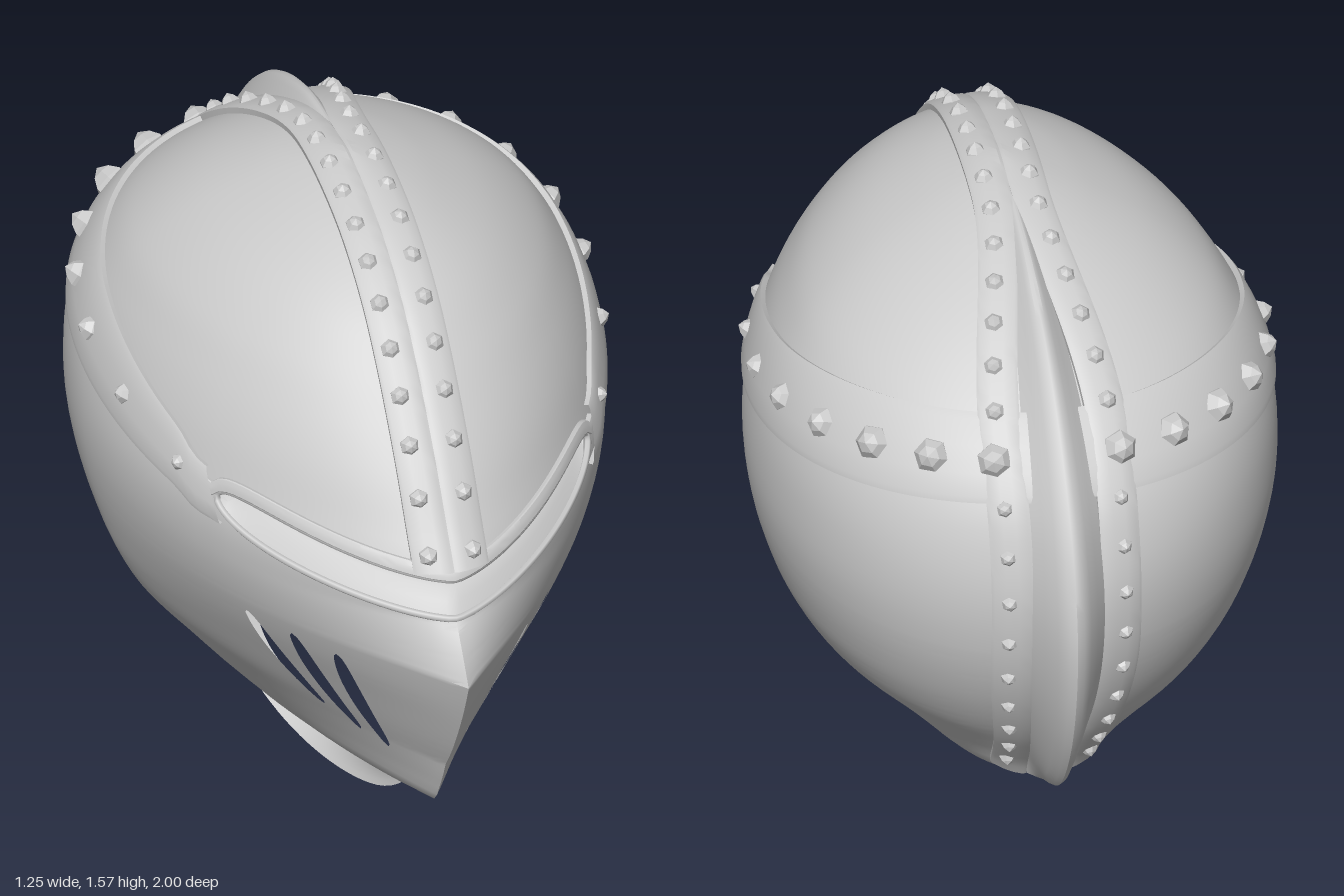
import * as THREE from 'three';
import { toCreasedNormals } from 'three/addons/utils/BufferGeometryUtils.js';

const V = (x, y, z) => new THREE.Vector3(x, y, z);
const lerp = THREE.MathUtils.lerp, PI = Math.PI;
const MAT = new THREE.MeshStandardMaterial({ color: 0xcccccc, side: THREE.DoubleSide });
const STUD_MAT = new THREE.MeshStandardMaterial({ color: 0xcccccc, flatShading: true });
const CENTRE = V(0, 0.8, -0.05);

// Helmet cross-sections: key, y, front z, back z, half width, front sharpness k and m
const ROWS = [
  [0, .145, .42, -.43, .18, 1.6, .6], [.06, .14, .51, -.5, .225, 1.4, .65],
  [.12, .155, .62, -.54, .26, 1.15, .7], [.18, .185, .715, -.57, .295, 1.03, .75],
  [.24, .24, .755, -.6, .345, 1, .76], [.3, .3, .79, -.645, .4, 1, .75],
  [.4, .4, .835, -.72, .49, 1.03, .72], [.5, .5, .865, -.78, .545, 1.1, .67],
  [.6, .6, .885, -.825, .58, 1.22, .62], [.7, .7, .895, -.855, .605, 1.34, .585],
  [.8, .8, .895, -.87, .62, 1.42, .56], [.9, .9, .882, -.87, .622, 1.46, .55],
  [1, 1, .81, -.85, .61, 1.54, .54], [1.1, 1.1, .735, -.81, .582, 1.65, .53],
  [1.2, 1.2, .65, -.735, .535, 1.74, .52], [1.3, 1.3, .555, -.625, .465, 1.8, .51],
  [1.4, 1.4, .435, -.475, .345, 1.9, .5], [1.48, 1.48, .28, -.3, .195, 2, .5],
  [1.52, 1.52, .13, -.15, .085, 2, .5], [1.54, 1.54, 0, 0, 0, 2, .5]];
const TOP = 1.54;

// Smooth interpolation between cross-sections
function section(v) {
  let i = 0;
  while (i < ROWS.length - 2 && v > ROWS[i + 1][0]) i++;
  const at = n => ROWS[Math.min(Math.max(n, 0), ROWS.length - 1)];
  const [p, a, b, n] = [at(i - 1), at(i), at(i + 1), at(i + 2)];
  const h = b[0] - a[0], t = THREE.MathUtils.clamp((v - a[0]) / h, 0, 1), t2 = t * t, t3 = t2 * t;
  const r = a.map((_, c) => a[c] * (2 * t3 - 3 * t2 + 1) + b[c] * (3 * t2 - 2 * t3)
    + (t3 - 2 * t2 + t) * h * (b[c] - p[c]) / (b[0] - p[0]) + (t3 - t2) * h * (n[c] - a[c]) / (n[0] - a[0]));
  const [, y, zf, zb, w, k, m] = r;
  return { y, zf, zb, w: Math.max(w, 0), k, m, zm: (zf + zb) / 2 - .2 * Math.max(w, 0) };
}
const frontZ = (s, X) => s.zm + (s.zf - s.zm) * Math.pow(Math.max(0, 1 - Math.pow(X, s.k)), s.m);
const backZ = (s, X) => s.zm + (s.zb - s.zm) * Math.sqrt(Math.max(0, 1 - X * X));
// Beak of the visor, strongest on the centre line
const beak = (v, X) => .108 * Math.max(0, 1 - (v > .67 ? (v - .67) / .13 : (.67 - v) / .33)) * Math.exp(-X / .2);

// Point on the shell: angle 0 is the front, positive towards +x; the bottom rim arches up at the sides
function surf(a, v) {
  const s = section(v), X = Math.min(1, Math.abs(Math.sin(a)));
  const y = s.y + .03 * X * X * Math.max(0, 1 - v / .24);
  return V(s.w * Math.sin(a), y, Math.abs(a) <= PI / 2 ? frontZ(s, X) + beak(v, X) : backZ(s, X));
}
// Point on the shell in the plane at x, along angle phi (front, over the top, to the back)
function hit(x, phi) {
  const at = r => V(x, CENTRE.y + r * Math.sin(phi), CENTRE.z + r * Math.cos(phi));
  let lo = 0, hi = 1.3;
  for (let i = 0; i < 26; i++) {
    const r = (lo + hi) / 2, p = at(r), s = section(p.y), X = Math.abs(x) / (s.w || 1e-6);
    const inside = p.y < TOP && X < 1 && p.z < frontZ(s, X) && p.z > backZ(s, X);
    if (inside) lo = r; else hi = r;
  }
  return at(lo);
}
const outward = p => p.clone().sub(CENTRE).normalize();
const raise = (p, d) => p.clone().addScaledVector(outward(p), d);

// Grid surface from fn(row, column); skip leaves cells open
function grid(name, nr, nc, fn, crease = .6, skip = () => false) {
  const pts = [], pos = [];
  for (let i = 0; i <= nr; i++) for (let j = 0; j <= nc; j++) pts.push(fn(i, j));
  const tri = (...q) => {
    const [a, b, c] = q.map(n => pts[n]);
    if (b.clone().sub(a).cross(c.clone().sub(a)).length() > 1e-9) for (const p of [a, b, c]) pos.push(p.x, p.y, p.z);
  };
  for (let i = 0; i < nr; i++) for (let j = 0; j < nc; j++) {
    if (skip(i, j)) continue;
    const a = i * (nc + 1) + j, c = a + nc + 1;
    tri(a, a + 1, c + 1);
    tri(a, c + 1, c);
  }
  const g = new THREE.BufferGeometry();
  g.setAttribute('position', new THREE.Float32BufferAttribute(pos, 3));
  const mesh = new THREE.Mesh(toCreasedNormals(g, crease), MAT);
  mesh.name = name;
  return mesh;
}

// Seam between skull and visor; it opens into the eye slot at the front
const SLOT = .82;
const beltY = z => .9475 + .2875 * (.46 - z) - .0675 * (.46 - z) ** 2;
const beltHalf = z => .0525 + .1025 * (.46 - z) - .0675 * (.46 - z) ** 2;
function seam(a) {
  a = Math.abs(a);
  if (a < .86) return .85 + .1 * Math.pow(a / .86, 1.3);
  let v = 1.05;
  for (let i = 0; i < 8; i++) v = beltY(surf(a, v).z);
  return lerp(.95, v, THREE.MathUtils.smoothstep(a, .86, .98));
}
const gap = a => .05 * Math.sqrt(Math.max(0, 1 - Math.pow(Math.abs(a) / SLOT, 8)));

// Cheek slits: top angle, bottom angle, bottom y, top y
const SLITS = [[.41, .23, .31, .62], [.56, .34, .33, .63], [.72, .47, .37, .64]];
function columns(y) {
  const anchors = [0];
  for (const [at, ab, y0, y1] of SLITS) {
    const t = THREE.MathUtils.clamp((y - y0) / (y1 - y0), 0, 1);
    const c = lerp(ab, at, t) + .012 * Math.sin(PI * t), h = .031 * Math.pow(Math.sin(PI * t), .4);
    anchors.push(c - h, c + h);
  }
  anchors.push(PI / 2, PI);
  const out = [], parts = [8, 1, 3, 1, 3, 1, 14, 28];
  parts.forEach((n, i) => { for (let k = 0; k < n; k++) out.push(lerp(anchors[i], anchors[i + 1], k / n)); });
  out.push(PI);
  return out;
}
const SLIT_COLS = [8, 12, 16];

// Raised strap; edge(t, s) gives the shell point, s running across from 0 to 1
function strap(name, n, thick, edge, side) {
  const prof = [[0, -.01], [0, .8], [.08, 1], [.35, 1.1], [.65, 1.1], [.92, 1], [1, .8], [1, -.01]];
  return grid(name, n, prof.length - 1, (i, j) => {
    const [s, h] = prof[side > 0 ? j : prof.length - 1 - j];
    return raise(edge(i / n, s), h * thick);
  }, .5);
}
function stud(p, r) {
  const g = new THREE.LatheGeometry([[r, -.3 * r], [r, .1 * r], [.62 * r, .65 * r], [0, 1.05 * r]].map(q => new THREE.Vector2(...q)), 6);
  const m = new THREE.Mesh(g, STUD_MAT);
  m.name = 'stud';
  m.position.copy(p);
  m.quaternion.setFromUnitVectors(V(0, 1, 0), outward(p));
  return m;
}

export function createModel() {
  const group = new THREE.Group();
  group.name = 'helmet';

  // Visor and lower shell with cheek slits
  const keys = [];
  for (let v = 0; v < .295; v += .03) keys.push(v);
  for (let v = .3; v < .725; v += .01) keys.push(v);
  const flat = keys.length - 1, extra = 10, cols = keys.map(columns), half = cols[0].length - 1;
  group.add(grid('visor', flat + extra, half * 2, (i, j) => {
    const k = Math.min(i, flat), a = Math.sign(j - half) * cols[k][Math.abs(j - half)];
    return surf(a, i <= flat ? keys[i] : lerp(keys[flat], seam(a) - gap(a), (i - flat) / extra));
  }, .6, (i, j) => {
    const c = SLIT_COLS.indexOf(j >= half ? j - half : half - 1 - j), y = (keys[i] + keys[i + 1]) / 2;
    return c >= 0 && i < flat && y > SLITS[c][2] && y < SLITS[c][3];
  }));

  // Skull dome
  group.add(grid('skull', 36, 128, (i, j) => {
    const a = (j / 64 - 1) * PI, r = 1 - Math.pow(1 - i / 36, 1.7);
    return surf(a, lerp(seam(a) + gap(a), TOP, r));
  }));

  // Eye slot: sloping ledge, rolled rim and brow strip
  group.add(grid('slotLedge', 3, 60, (i, j) => {
    const a = (j / 30 - 1) * SLOT, p = surf(a, seam(a) - gap(a)), u = i / 3;
    const inward = V(-p.x, 0, CENTRE.z - p.z).normalize();
    p.addScaledVector(inward, .07 * u).y += gap(a) * 1.35 * Math.sin(u * PI / 2);
    return p;
  }));
  const ring = [];
  for (let i = 0; i < 80; i++) {
    const q = i / 80 * 2 * PI, a = SLOT * Math.sin(q);
    ring.push(surf(a, seam(a) + gap(a) * Math.sign(Math.cos(q))));
  }
  const rim = new THREE.Mesh(new THREE.TubeGeometry(new THREE.CatmullRomCurve3(ring, true), 160, .009, 6, true), MAT);
  rim.name = 'slotRim';
  group.add(rim);
  group.add(strap('browStrip', 60, .012, (t, s) => {
    const a = (t * 2 - 1) * .86;
    return surf(a, seam(a) + gap(a) + .03 * (1 - s));
  }, 1));

  // Crest from the crown down the back
  const ridge = new THREE.CatmullRomCurve3([[1.54, -.1], [1.505, -.35], [1.4, -.6], [1.24, -.8], [1.04, -.945],
    [.85, -1], [.65, -.98], [.45, -.9], [.27, -.76], [.155, -.57]].map(([y, z]) => V(0, y, z)));
  const shape = [[1, -.03], [.85, .15], [.63, .42], [.4, .72], [.18, .94], [0, 1]];
  const crossing = [...shape, ...shape.slice(0, -1).reverse().map(([x, h]) => [-x, h])];
  group.add(grid('crest', 60, crossing.length - 1, (i, j) => {
    const t = i / 60, tip = ridge.getPoint(t), [x, h] = crossing[j];
    const w = .012 + .088 * Math.pow(Math.sin(PI * Math.min(1, .02 + t * .86)), 1.1);
    const phi = Math.atan2(tip.y - CENTRE.y, tip.z - CENTRE.z);
    const p = hit(w, phi).lerp(tip, h);
    p.x = x * w;
    return p;
  }, .8));

  // Paired crown straps and side belts with their studs
  const flare = phi => THREE.MathUtils.smoothstep(phi, 1.65, 2.6);
  const close = phi => THREE.MathUtils.smoothstep(phi, 3.2, 4.05);
  const inner = phi => .08 * flare(phi) - .035 * close(phi);
  const outer = phi => .09 + .085 * flare(phi) - .05 * close(phi);
  for (const side of [1, -1]) {
    const name = side > 0 ? 'left' : 'right';
    group.add(strap(name + 'CrownStrap', 100, .018, (t, s) => {
      const phi = lerp(.13, 4.0, t);
      return hit(side * lerp(inner(phi), outer(phi), s), phi);
    }, -side));
    for (let i = 0; i < 27; i++) {
      const phi = lerp(.17, 3.9, i / 26);
      group.add(stud(raise(hit(side * lerp(inner(phi), outer(phi), .58), phi), .016), i < 18 ? .024 : .02));
    }
    const belt = (t, s) => {
      const a = side * lerp(.8 + .05 * (1 - s), 3.02, t), mid = seam(a);
      return surf(a, mid + beltHalf(surf(a, mid).z) * (1 - 2 * s));
    };
    group.add(strap(name + 'Belt', 60, .016, belt, side));
    for (let i = 0; i < 8; i++) {
      const t = lerp(.06, .93, i / 7);
      group.add(stud(raise(belt(t, .5), .015), lerp(.018, .042, Math.min(1, t * 1.5))));
    }
  }

  // Flared throat lip under the chin
  group.add(grid('throatLip', 8, 40, (i, j) => {
    const u = j / 20 - 1, t = 1 - i / 8, top = surf(u * 1.35, .005);
    const low = V(.27 * Math.sin(u * 1.25), .17 * (Math.hypot(u, .17) - .17) / .844, .36 - .36 * u * u);
    const p = top.clone().lerp(low, t);
    p.z = lerp(top.z, low.z, Math.sin(t * PI / 2));
    return p;
  }));
  return group;
}
